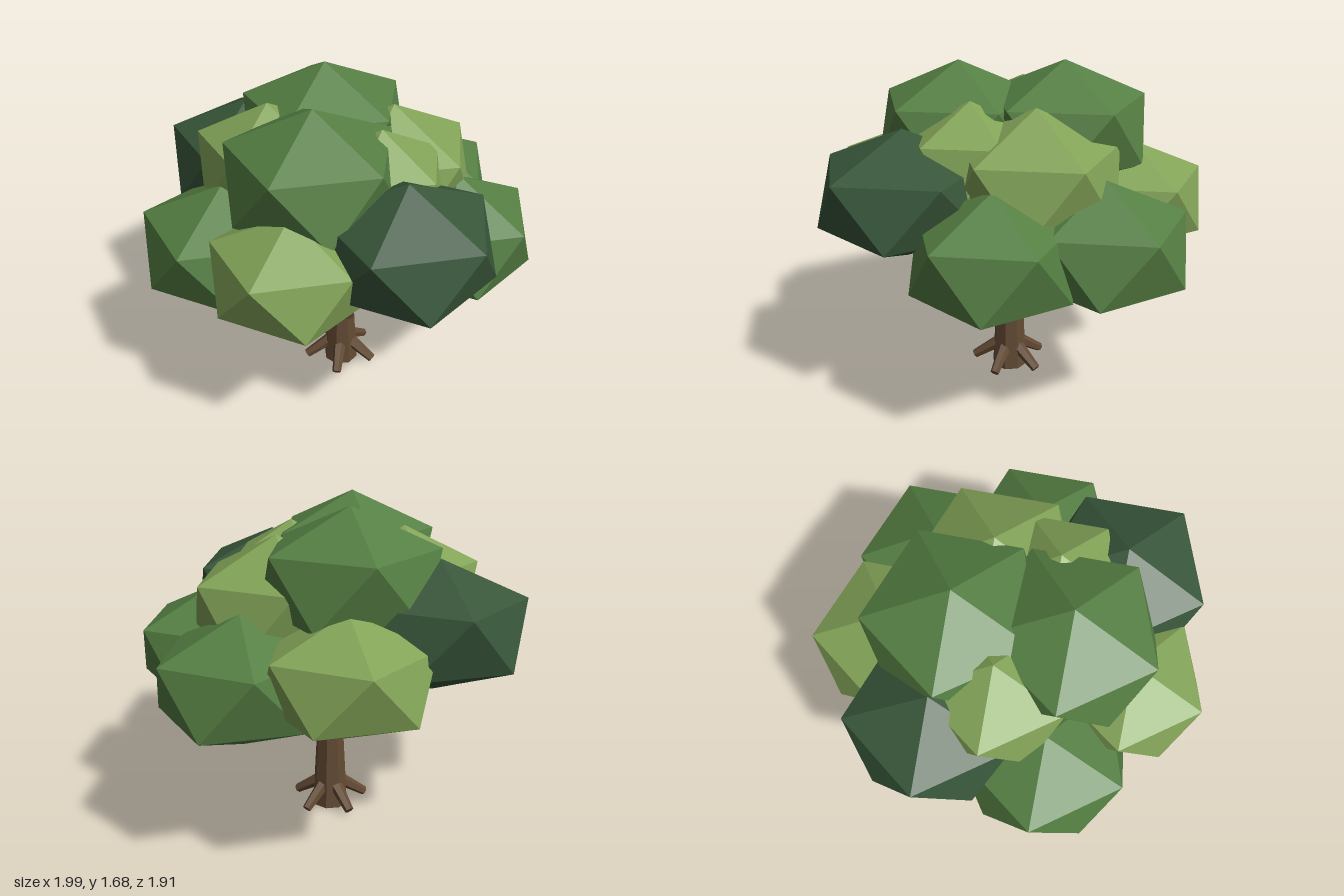
import * as THREE from 'three';

const mat = (name, color) => {
  const m = new THREE.MeshStandardMaterial({ color, flatShading: true });
  m.name = name;
  return m;
};

export function createModel() {
  const tree = new THREE.Group();
  tree.name = 'tree';
  const bark = mat('bark', 0x634a33);
  const knotWood = mat('knotWood', 0x553c28);
  const mid = mat('midGreen', 0x557f43);
  const light = mat('lightGreen', 0x82a357);
  const dark = mat('darkGreen', 0x38563a);

  const add = (parent, name, geometry, material) => {
    const mesh = new THREE.Mesh(geometry, material);
    mesh.name = name;
    parent.add(mesh);
    return mesh;
  };

  // Tapered limb running between two points
  const limb = (parent, name, from, to, r0, r1, sides) => {
    const dir = to.clone().sub(from);
    const mesh = add(parent, name, new THREE.CylinderGeometry(r1, r0, dir.length(), sides), bark);
    mesh.position.copy(from).addScaledVector(dir, 0.5);
    mesh.quaternion.setFromUnitVectors(new THREE.Vector3(0, 1, 0), dir.normalize());
  };
  const polar = (angle, r, y) => new THREE.Vector3(Math.cos(angle) * r, y, Math.sin(angle) * r);

  // Trunk, roots and branches share one off-centre axis
  const wood = new THREE.Group();
  wood.name = 'wood';
  wood.position.set(-0.005, 0, -0.025);
  tree.add(wood);
  limb(wood, 'trunk', new THREE.Vector3(0, 0, 0), new THREE.Vector3(0, 0.92, 0), 0.095, 0.046, 8);

  // Branch length and rise, one for each of five directions
  const branches = [[0.3, 0.1], [0.28, 0.2], [0.29, 0.11], [0.24, 0.26], [0.28, 0.2]];
  branches.forEach(([reach, rise], i) => {
    const a = THREE.MathUtils.degToRad(54 + 72 * i);
    limb(wood, 'root', polar(a, 0.05, 0.13), polar(a, 0.195, 0.032), 0.036, 0.024, 6);
    limb(wood, 'branch', polar(a, 0, 0.675), polar(a, reach, 0.675 + rise), 0.03, 0.018, 6);
  });

  const knot = add(tree, 'knot', new THREE.CylinderGeometry(0.028, 0.028, 0.012, 8), knotWood);
  knot.rotation.x = Math.PI / 2;
  knot.position.set(-0.005, 0.354, 0.07);

  // Leaf clumps: icosahedra standing on a vertex, with one upper ring corner towards +x
  const ico = new THREE.IcosahedronGeometry(1, 0);
  ico.rotateX(-Math.atan((1 + Math.sqrt(5)) / 2));
  ico.rotateY(Math.PI / 2);
  const RING = 2 / Math.sqrt(5);
  const clumps = [
    // material, x, y, z, ring radius, half height
    [dark, 0.01, 1.11, 0.56, 0.42, 0.32],
    [dark, -0.26, 1.13, -0.565, 0.41, 0.32],
    [mid, 0.47, 0.9, 0.33, 0.39, 0.325],
    [mid, 0.585, 0.9, -0.195, 0.405, 0.325],
    [mid, -0.59, 0.91, -0.15, 0.41, 0.325],
    [mid, -0.24, 1.33, 0.14, 0.42, 0.34],
    [mid, 0.06, 1.34, -0.3, 0.425, 0.34],
    [light, -0.47, 1.01, 0.355, 0.375, 0.29],
    [light, 0.25, 0.98, -0.58, 0.39, 0.3],
    [light, 0.285, 1.16, 0, 0.415, 0.36],
    [light, 0.07, 1.24, 0.235, 0.32, 0.295],
    [light, -0.28, 1.24, -0.26, 0.36, 0.31],
  ];
  const canopy = new THREE.Group();
  canopy.name = 'canopy';
  tree.add(canopy);
  for (const [material, x, y, z, ring, half] of clumps) {
    const geometry = ico.clone().scale(ring / RING, half, ring / RING);
    add(canopy, 'leafClump', geometry, material).position.set(x, y, z);
  }
  return tree;
}
